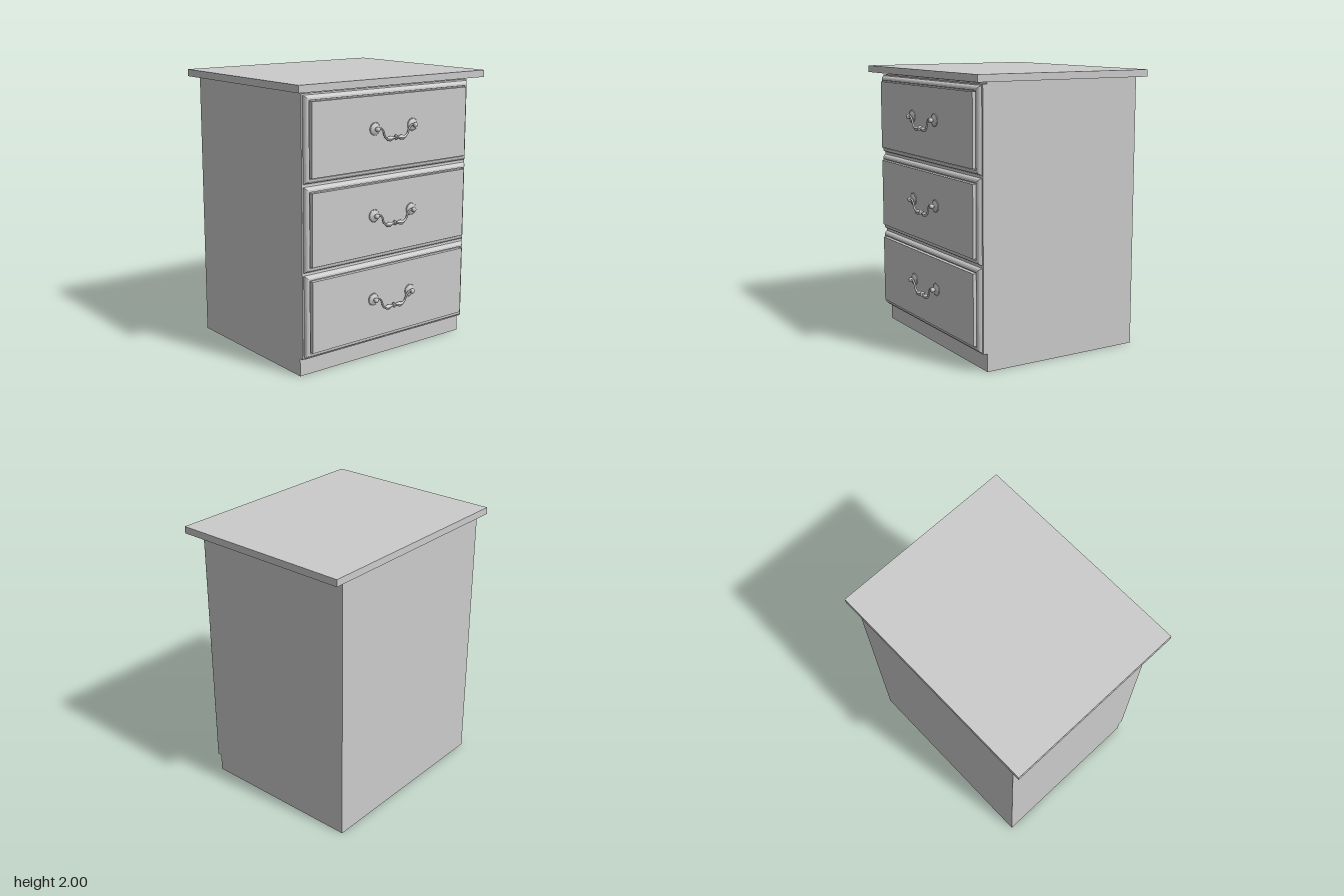
import * as THREE from 'three';

const grey = new THREE.MeshStandardMaterial({ color: 0xcccccc, side: THREE.DoubleSide });
const flat = new THREE.MeshStandardMaterial({ color: 0xcccccc, flatShading: true });

function add(parent, name, geometry, material = grey, x = 0, y = 0, z = 0) {
  const mesh = new THREE.Mesh(geometry, material);
  mesh.name = name;
  mesh.position.set(x, y, z);
  parent.add(mesh);
  return mesh;
}

// Rectangular moulding: concentric rectangles stepped forward, closed by a front panel
function mouldedFront(halfW, halfH, profile) {
  const corners = [[-1, -1], [1, -1], [1, 1], [-1, 1]];
  const positions = [], index = [];
  for (const [inset, z] of profile)
    for (const [sx, sy] of corners) positions.push(sx * (halfW - inset), sy * (halfH - inset), z);
  for (let k = 0; k < profile.length - 1; k++)
    for (let j = 0; j < 4; j++) {
      const a = k * 4 + j, b = k * 4 + (j + 1) % 4;
      index.push(a, b, b + 4, a, b + 4, a + 4);
    }
  const f = (profile.length - 1) * 4;
  index.push(f, f + 1, f + 2, f, f + 2, f + 3);
  const g = new THREE.BufferGeometry();
  g.setAttribute('position', new THREE.Float32BufferAttribute(positions, 3));
  g.setIndex(index);
  const out = g.toNonIndexed();
  out.computeVertexNormals();
  return out;
}

// Lathe turned so that its axis points forward
function turned(points, segments = 24) {
  return new THREE.LatheGeometry(points.map(p => new THREE.Vector2(...p)), segments).rotateX(Math.PI / 2);
}

// Hanging pull: a tube whose thickness swells on both sides of a central ring
function pullGeometry() {
  const half = [[0.17, 0, 0.033], [0.14, 0.004, 0.033], [0.118, -0.018, 0.031], [0.1, -0.058, 0.029],
    [0.07, -0.075, 0.028], [0.035, -0.073, 0.028]];
  const points = [...half.map(([x, y, z]) => [-x, y, z]), [0, -0.07, 0.028], ...half.slice().reverse()];
  const path = new THREE.CatmullRomCurve3(points.map(p => new THREE.Vector3(...p)));
  const n = 72, sides = 10;
  const g = new THREE.TubeGeometry(path, n, 1, sides, false);
  const pos = g.attributes.position, v = new THREE.Vector3();
  for (let i = 0; i <= n; i++) {
    const c = path.getPointAt(i / n), x = Math.abs(c.x);
    const r = 0.007 + 0.011 * Math.exp(-(((x - 0.053) / 0.024) ** 2));
    for (let j = 0; j <= sides; j++) {
      const k = i * (sides + 1) + j;
      v.fromBufferAttribute(pos, k).sub(c).multiplyScalar(r).add(c);
      pos.setXYZ(k, v.x, v.y, v.z);
    }
  }
  g.computeVertexNormals();
  return g;
}

export function createModel() {
  const model = new THREE.Group();
  model.name = 'nightstand';

  // Carcass: four walls, open underneath, covered by the top
  const box = new THREE.BoxGeometry(1.49, 1.95, 1.22);
  const faces = Array.from(box.index.array);
  box.setIndex([...faces.slice(0, 12), ...faces.slice(24)]);
  box.clearGroups();
  add(model, 'carcass', box, grey, -0.003, 0.975, -0.05);
  add(model, 'top', new THREE.BoxGeometry(1.66, 0.05, 1.37), flat, 0, 1.975, -0.005);

  const front = mouldedFront(0.745, 0.301, [[0, 0.56], [0, 0.591], [0.01, 0.593], [0.013, 0.603],
    [0.019, 0.613], [0.028, 0.619], [0.042, 0.621], [0.044, 0.612], [0.05, 0.612], [0.05, 0.64]]);
  const rosette = turned([[0.045, 0], [0.043, 0.006], [0.034, 0.01], [0.022, 0.014], [0.012, 0.018]]);
  const post = turned([[0.011, 0], [0.011, 0.022], [0.016, 0.026], [0.018, 0.035], [0.016, 0.043],
    [0.01, 0.048], [0, 0.05]], 16);
  const bead = new THREE.TorusGeometry(0.0035, 0.003, 6, 10);
  const pull = pullGeometry();
  const ring = new THREE.SphereGeometry(0.019, 16, 10).scale(0.4, 1, 1);

  // Three equal drawers, each with one handle
  for (let i = 0; i < 3; i++) {
    const drawer = new THREE.Group();
    drawer.name = 'drawer' + (i + 1);
    drawer.position.y = 1.632 - i * 0.602;
    model.add(drawer);
    add(drawer, 'drawerFront', front, flat, -0.003);

    const handle = new THREE.Group();
    handle.name = 'handle';
    handle.position.set(0, 0.027, 0.639);
    drawer.add(handle);
    for (const side of [-1, 1]) {
      add(handle, 'rosette', rosette, grey, side * 0.17);
      add(handle, 'post', post, grey, side * 0.17);
      // Beaded rim of the rosette
      const beads = new THREE.InstancedMesh(bead, grey, 24);
      beads.name = 'rosetteBeads';
      for (let k = 0; k < 24; k++) {
        const a = k / 24 * Math.PI * 2;
        beads.setMatrixAt(k, new THREE.Matrix4().makeTranslation(
          side * 0.17 + Math.cos(a) * 0.04, Math.sin(a) * 0.04, 0.005));
      }
      handle.add(beads);
    }
    add(handle, 'pull', pull);
    add(handle, 'pullRing', ring, grey, 0, -0.07, 0.028);
  }
  return model;
}
